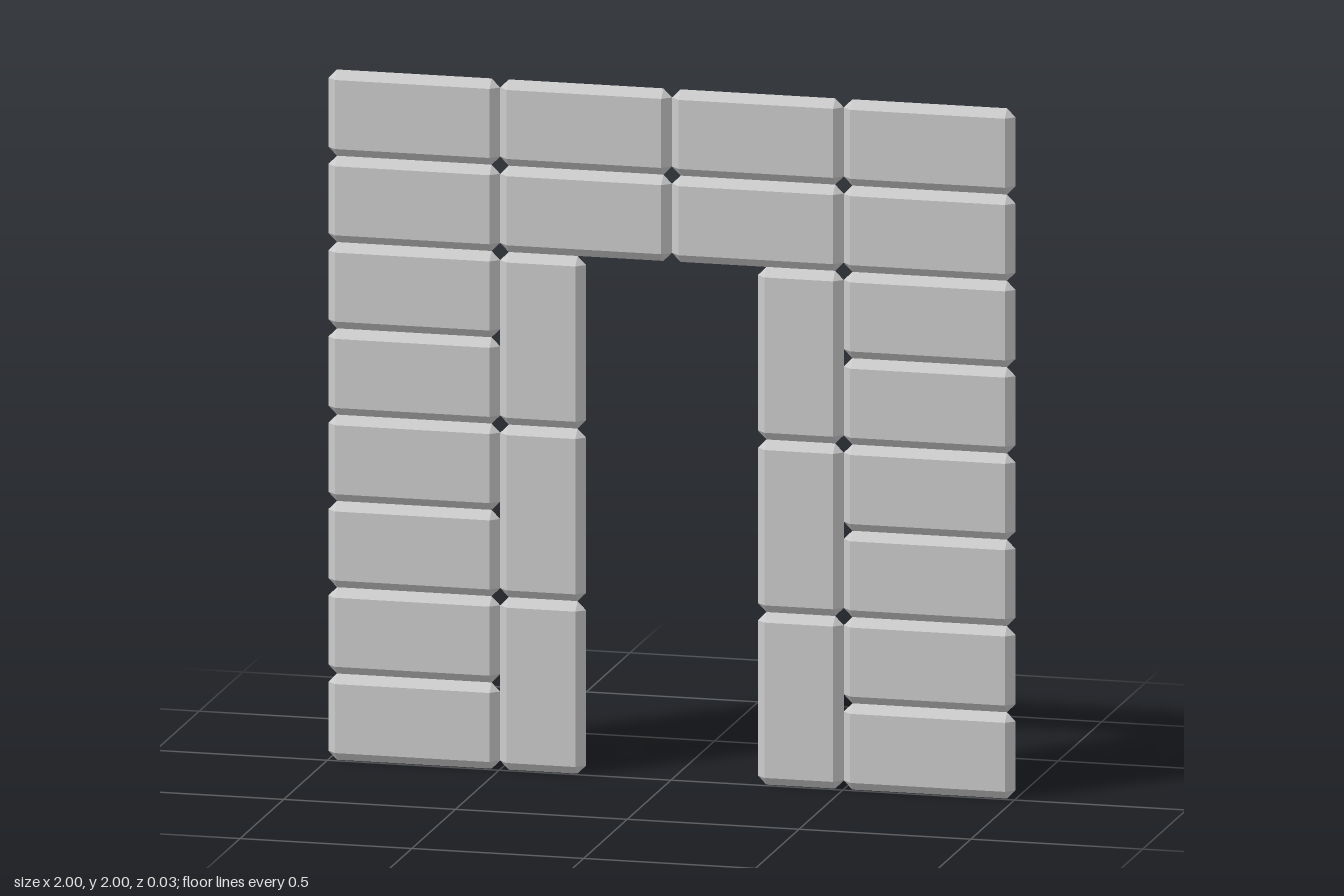
import * as THREE from 'three';
import { ConvexGeometry } from 'three/addons/geometries/ConvexGeometry.js';

const BEVEL = 0.025;
const HALF_DEPTH = 0.0125;

// Flat-backed stone: chamfered front edges, clipped corners at the back
function stoneGeometry(width, height) {
  const w = width / 2, h = height / 2;
  const points = [];
  for (const sx of [-1, 1]) {
    for (const sy of [-1, 1]) {
      points.push(
        new THREE.Vector3(sx * (w - BEVEL), sy * (h - BEVEL), HALF_DEPTH),
        new THREE.Vector3(sx * w, sy * (h - BEVEL), -HALF_DEPTH),
        new THREE.Vector3(sx * (w - BEVEL), sy * h, -HALF_DEPTH)
      );
    }
  }
  return new ConvexGeometry(points);
}

export function createModel() {
  const group = new THREE.Group();
  group.name = 'stoneDoorway';
  const material = new THREE.MeshStandardMaterial({ color: 0xcccccc, flatShading: true });
  const wide = stoneGeometry(0.5, 0.25);
  const tall = stoneGeometry(0.25, 0.5);

  const addStone = (name, geometry, x, y) => {
    const stone = new THREE.Mesh(geometry, material);
    stone.name = name;
    stone.position.set(x, y, 0);
    group.add(stone);
  };

  for (const [side, s] of [['left', 1], ['right', -1]]) {
    // Outer column of eight courses
    for (let i = 0; i < 8; i++) addStone(`${side}WallStone${i + 1}`, wide, s * 0.75, 0.125 + i * 0.25);
    // Upright stones lining the opening
    for (let i = 0; i < 3; i++) addStone(`${side}JambStone${i + 1}`, tall, s * 0.375, 0.25 + i * 0.5);
    // Two courses spanning the opening
    for (let i = 0; i < 2; i++) addStone(`${side}LintelStone${i + 1}`, wide, s * 0.25, 1.625 + i * 0.25);
  }
  return group;
}
